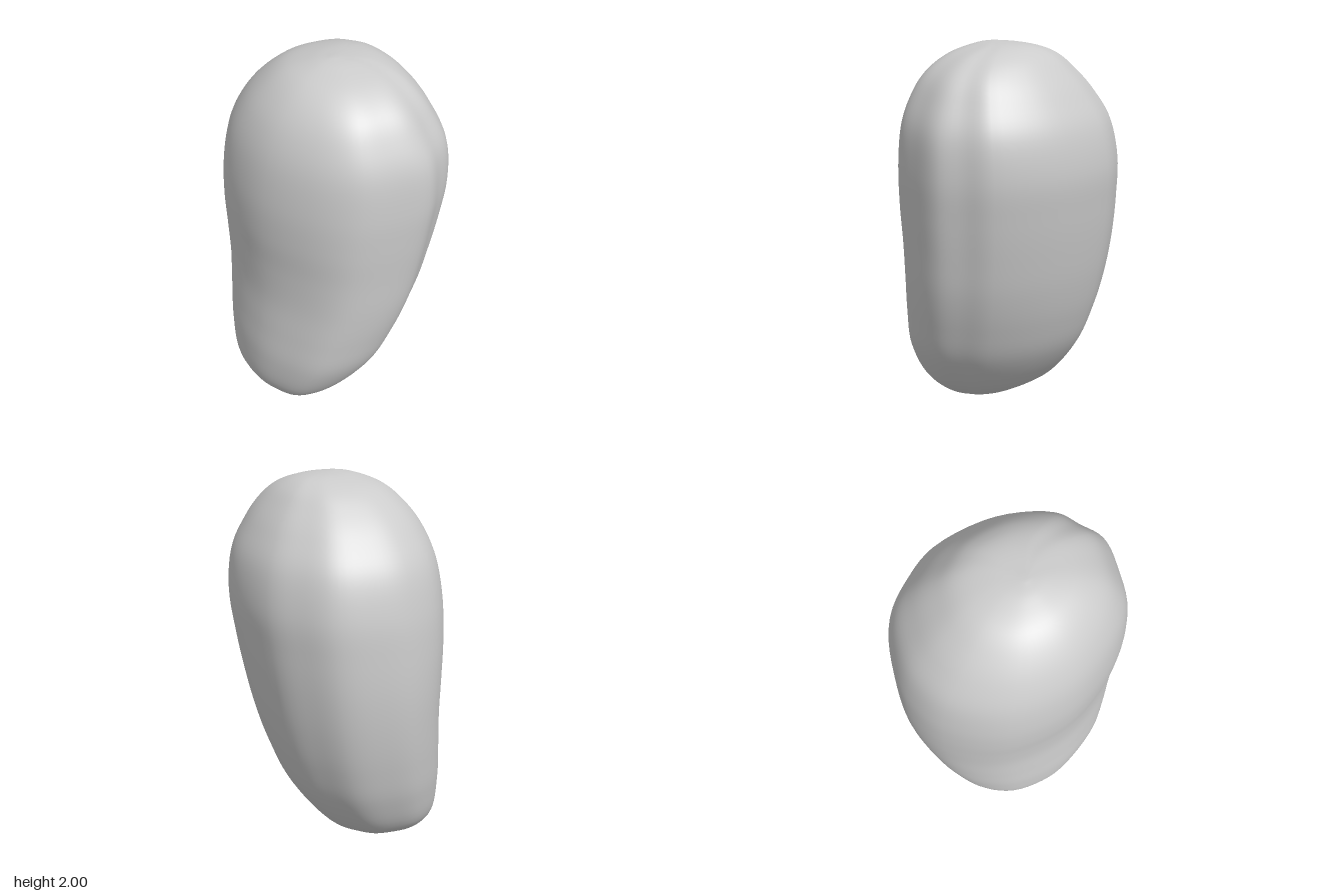
import * as THREE from 'three';
import { mergeVertices } from 'three/addons/utils/BufferGeometryUtils.js';

const SIDES = 75, RINGS = 80;

// Height levels: y, least x, greatest x, greatest z, least z
const LEVELS = [
  [0, -0.28, -0.28, -0.12, -0.12],
  [0.016, -0.355, -0.19, -0.03, -0.175],
  [0.08, -0.42, -0.04, 0.14, -0.28],
  [0.2, -0.5, 0.14, 0.285, -0.45],
  [0.4, -0.515, 0.295, 0.42, -0.53],
  [0.6, -0.5, 0.38, 0.49, -0.57],
  [0.8, -0.485, 0.435, 0.54, -0.595],
  [1.0, -0.49, 0.472, 0.57, -0.607],
  [1.2, -0.505, 0.498, 0.595, -0.603],
  [1.4, -0.505, 0.512, 0.61, -0.585],
  [1.6, -0.478, 0.48, 0.595, -0.535],
  [1.75, -0.425, 0.405, 0.53, -0.44],
  [1.86, -0.35, 0.325, 0.45, -0.335],
  [1.94, -0.255, 0.245, 0.33, -0.22],
  [1.985, -0.14, 0.14, 0.18, -0.07],
  [2, -0.05, -0.05, 0.06, 0.06],
];

// Slightly angular cross-sections in unit coordinates (x, z), point for point
const UPPER = [
  [1, -0.25], [0.93, 0.33], [0.61, 0.8], [0.35, 0.91], [0.1, 1], [-0.25, 0.93],
  [-0.6, 0.79], [-0.85, 0.49], [-1, 0], [-0.87, -0.52], [-0.45, -0.9], [-0.02, -1],
  [0.36, -0.93], [0.69, -0.78], [0.87, -0.55],
];
const LOWER = [
  [1, -0.25], [0.88, 0.28], [0.52, 0.74], [0.24, 0.89], [-0.05, 1], [-0.45, 0.96],
  [-0.78, 0.78], [-0.95, 0.42], [-1, 0.05], [-0.85, -0.5], [-0.48, -0.86], [-0.02, -1],
  [0.36, -0.93], [0.69, -0.78], [0.87, -0.55],
];

const smoothOutline = (points) => new THREE.CatmullRomCurve3(
  points.map(([x, z]) => new THREE.Vector3(x, 0, z)), true).getPoints(SIDES);

function createBody() {
  const low = new THREE.CatmullRomCurve3(
    LEVELS.map(([y, x0, , , z0]) => new THREE.Vector3(x0, y, z0)), false, 'catmullrom');
  const high = new THREE.CatmullRomCurve3(
    LEVELS.map(([y, , x1, z1]) => new THREE.Vector3(x1, y, z1)), false, 'catmullrom');
  const upper = smoothOutline(UPPER), lower = smoothOutline(LOWER);

  const positions = [], index = [], unit = new THREE.Vector3();
  for (let j = 0; j <= RINGS; j++) {
    const a = low.getPoint(j / RINGS), b = high.getPoint(j / RINGS);
    const blend = THREE.MathUtils.smoothstep(a.y, 0.1, 1.6);
    for (let i = 0; i < SIDES; i++) {
      unit.lerpVectors(lower[i], upper[i], blend);
      positions.push(
        (a.x + b.x) / 2 + unit.x * (b.x - a.x) / 2,
        a.y,
        (a.z + b.z) / 2 + unit.z * (b.z - a.z) / 2);
      if (j === RINGS) continue;
      const p = j * SIDES + i, q = j * SIDES + (i + 1) % SIDES;
      if (j < RINGS - 1) index.push(p, p + SIDES, q + SIDES);
      if (j > 0) index.push(p, q + SIDES, q);
    }
  }
  const geometry = new THREE.BufferGeometry();
  geometry.setAttribute('position', new THREE.Float32BufferAttribute(positions, 3));
  geometry.setIndex(index);
  // Join each pole into one vertex for smooth normals
  const merged = mergeVertices(geometry, 1e-5);
  merged.computeVertexNormals();
  return merged;
}

export function createModel() {
  const group = new THREE.Group();
  group.name = 'smoothStone';
  const body = new THREE.Mesh(createBody(), new THREE.MeshStandardMaterial({ color: 0xcccccc }));
  body.name = 'stoneBody';
  group.add(body);
  return group;
}
